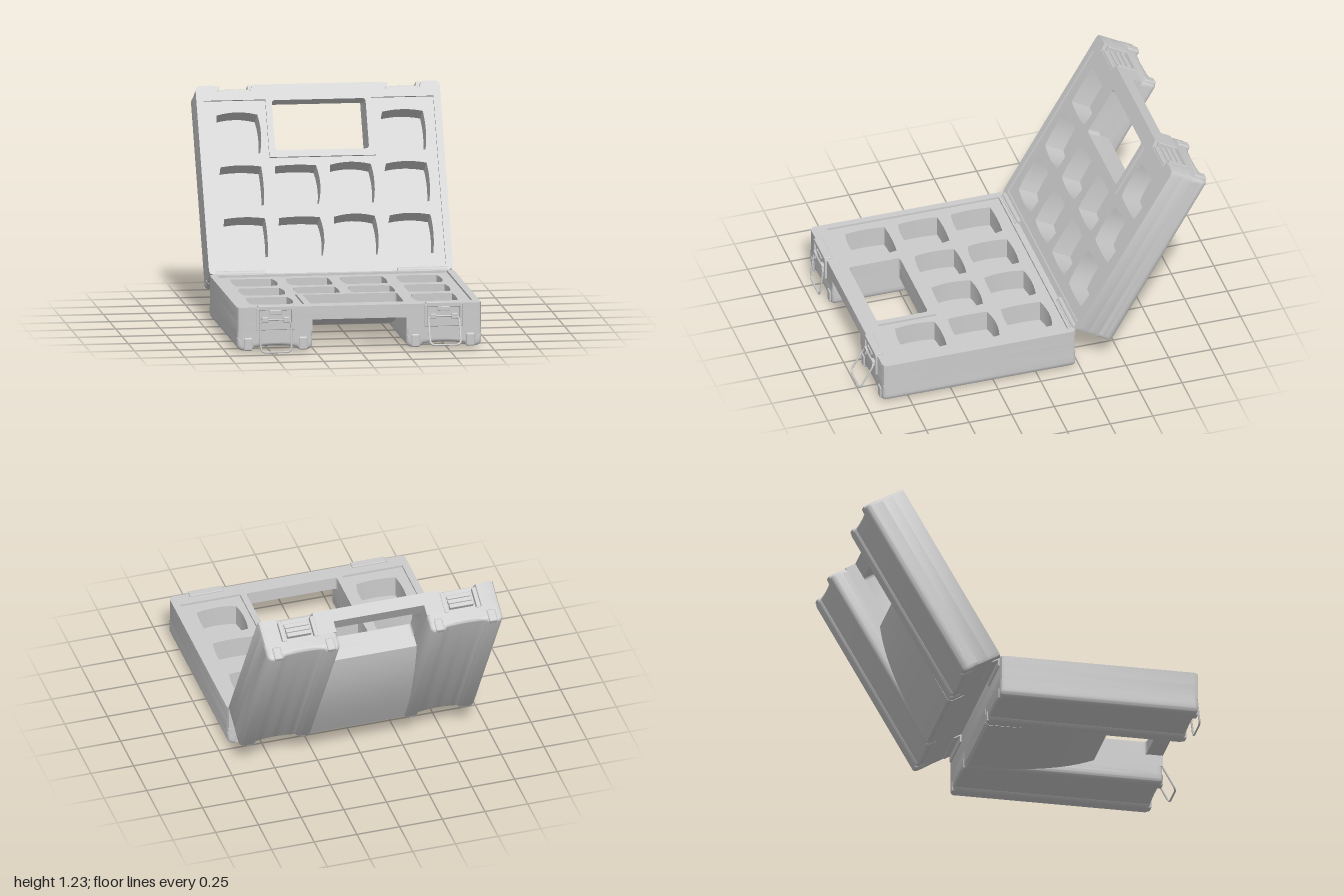
import * as THREE from 'three';
import { toCreasedNormals } from 'three/addons/utils/BufferGeometryUtils.js';
import { RoundedBoxGeometry } from 'three/addons/geometries/RoundedBoxGeometry.js';

const mat = new THREE.MeshStandardMaterial({ color: 0xcccccc });
const W = 0.69, L = 1.13, D = 0.245; // half width, length from hinge, depth of one half
const HX = 0.265, H0 = 0.735, H1 = 1.035; // handle opening

// Each half is modelled with the hinge at z = 0, its rim at y = 0 and its floor at y = -D.
function add(parent, name, geo, x = 0, y = 0, z = 0) {
  const m = new THREE.Mesh(geo, mat);
  m.name = name;
  m.position.set(x, y, z);
  parent.add(m);
  return m;
}

function box(parent, name, x0, x1, w0, w1, v0, v1, r = 0.004) {
  const g = new RoundedBoxGeometry(x1 - x0, w1 - w0, v1 - v0, 2, r);
  return add(parent, name, g, (x0 + x1) / 2, -(w0 + w1) / 2, (v0 + v1) / 2);
}

// Plan shape (x, distance from hinge) extruded downwards between two depths
function slab(parent, name, shape, w0, w1) {
  const g = new THREE.ExtrudeGeometry(shape, { depth: w1 - w0, bevelEnabled: false, curveSegments: 6 });
  g.rotateX(Math.PI / 2);
  return add(parent, name, toCreasedNormals(g, 0.6), 0, -w0, 0);
}

function polygon(points, Type = THREE.Shape) {
  const s = new Type();
  points.forEach(([x, y], i) => (i ? s.lineTo(x, y) : s.moveTo(x, y)));
  s.closePath();
  return s;
}

function roundedRect(x0, y0, x1, y1, r, Type = THREE.Shape) {
  const s = new Type();
  s.moveTo(x0 + r, y0);
  s.lineTo(x1 - r, y0); s.quadraticCurveTo(x1, y0, x1, y0 + r);
  s.lineTo(x1, y1 - r); s.quadraticCurveTo(x1, y1, x1 - r, y1);
  s.lineTo(x0 + r, y1); s.quadraticCurveTo(x0, y1, x0, y1 - r);
  s.lineTo(x0, y0 + r); s.quadraticCurveTo(x0, y0, x0 + r, y0);
  return s;
}

// U-shaped bed of the insert, wrapping round the handle opening
const bed = [[-0.65, 0.035], [0.65, 0.035], [0.65, 1.04], [0.3, 1.04],
  [0.3, 0.695], [-0.3, 0.695], [-0.3, 1.04], [-0.65, 1.04]];

// Outline of the shell, optionally open at the front and notched for the latches
function outline(open, notched) {
  const right = [];
  if (open) right.push([HX, H0], [HX, L]);
  if (notched) right.push([0.37, L], [0.38, L - 0.04], [0.575, L - 0.04], [0.585, L]);
  right.push([W - 0.025, L], [W - 0.007, L - 0.007], [W, L - 0.025],
    [W, 0.025], [W - 0.007, 0.007], [W - 0.025, 0]);
  const s = polygon([...right, ...right.map(([x, v]) => [-x, v]).reverse()]);
  s.holes.push(polygon(bed, THREE.Path));
  return s;
}

// Pocket with four bowed sides
function pocket(cx, cv, bow) {
  const a = 0.115, p = new THREE.Path();
  const k = bow.map((b) => a + b);
  p.moveTo(cx - a, cv - a);
  p.quadraticCurveTo(cx, cv - k[0], cx + a, cv - a);
  p.quadraticCurveTo(cx + k[1], cv, cx + a, cv + a);
  p.quadraticCurveTo(cx, cv + k[2], cx - a, cv + a);
  p.quadraticCurveTo(cx - k[3], cv, cx - a, cv - a);
  return p;
}

function buildInsert(parent) {
  const shape = polygon(bed);
  let n = 0;
  for (const v of [0.22, 0.53, 0.84]) {
    for (const x of [-0.47, -0.155, 0.155, 0.465]) {
      if (v > 0.8 && Math.abs(x) < 0.3) continue;
      const bow = [0, 1, 2, 3].map((i) => 0.012 + 0.007 * ((n * 5 + i * 3) % 4));
      shape.holes.push(pocket(x, v, bow));
      n++;
    }
  }
  slab(parent, 'insert', shape, 0.012, 0.135);
  slab(parent, 'pocketFloors', polygon(bed), 0.135, 0.14);
}

function buildHalf(name, notched) {
  const g = new THREE.Group();
  g.name = name;

  // Rim with the handle bar, and the walls below it
  const rim = outline(false, notched);
  rim.holes.push(roundedRect(-HX, H0, HX, H1, 0.02, THREE.Path));
  slab(g, 'rimAndHandle', rim, 0, 0.075);
  slab(g, 'walls', outline(true, notched), 0.075, 0.14);
  buildInsert(g);

  // Curved centre panel, deepening towards the handle
  const ramp = new THREE.Shape();
  ramp.moveTo(0, -0.14);
  ramp.lineTo(0, -0.225);
  ramp.lineTo(0.015, -0.24);
  for (let i = 1; i <= 16; i++) ramp.lineTo(0.015 + (H0 - 0.015) * i / 16, -0.24 + 0.0995 * (i / 16) ** 3);
  ramp.lineTo(H0, -0.14);
  const rg = new THREE.ExtrudeGeometry(ramp, { depth: 2 * HX + 0.02, bevelEnabled: false });
  rg.rotateY(-Math.PI / 2);
  add(g, 'centrePanel', toCreasedNormals(rg, 0.6), HX + 0.01);

  for (const s of [-1, 1]) {
    // Solid side bay under the pockets
    const bay = roundedRect(Math.min(s * HX, s * W), 0, Math.max(s * HX, s * W), L, 0.025);
    slab(g, 'sideBay', bay, 0.14, 0.2);

    // Ridged underside with a hollow between the ridges
    const p = new THREE.Shape();
    p.moveTo(s * HX, -0.17);
    p.lineTo(s * HX, -0.215);
    p.quadraticCurveTo(s * 0.27, -D, s * 0.3, -D);
    p.lineTo(s * 0.325, -D);
    p.quadraticCurveTo(s * 0.35, -D, s * 0.36, -0.228);
    p.quadraticCurveTo(s * 0.475, -0.212, s * 0.59, -0.228);
    p.quadraticCurveTo(s * 0.6, -D, s * 0.625, -D);
    p.lineTo(s * 0.65, -D);
    p.quadraticCurveTo(s * W, -D, s * W, -0.205);
    p.lineTo(s * W, -0.17);
    p.closePath();
    const b = 0.018;
    const ug = new THREE.ExtrudeGeometry(p, { depth: L - 2 * b, bevelThickness: b, bevelSize: b,
      bevelOffset: -b, bevelSegments: 3, curveSegments: 8 });
    add(g, 'ridgedUnderside', toCreasedNormals(ug, 0.6), 0, 0, b);

    // Ridge ends wrapping over both edges
    for (const x of [0.318, 0.628]) {
      const c = s * x;
      box(g, 'ridgeEnd', c - 0.025, c + 0.025, 0.17, D, L - 0.03, L + 0.008, 0.01);
      box(g, 'ridgeEnd', c - 0.022, c + 0.022, 0.18, D, -0.005, 0.03, 0.01);
    }
  }
  return g;
}

// Wire bail hanging from the latch, swung out by an angle
function buildBail(parent, x, length, angle) {
  const pts = roundedRect(-0.087, -length, 0.087, 0, 0.03).getSpacedPoints(48).slice(0, -1);
  const path = new THREE.CatmullRomCurve3(pts.map((p) => new THREE.Vector3(p.x, p.y, 0)), true);
  const m = add(parent, 'latchBail', new THREE.TubeGeometry(path, 72, 0.006, 6, true), x, -0.07, L + 0.014);
  m.rotation.x = -angle;
}

export function createModel() {
  const root = new THREE.Group();
  root.name = 'organizerCase';

  const base = buildHalf('base', false);
  base.position.set(0, 0.26, -0.225);
  root.add(base);

  const lid = buildHalf('lid', true);
  const t = Math.PI / 3, c = Math.cos(t), s = Math.sin(t);
  lid.setRotationFromMatrix(new THREE.Matrix4().makeBasis(
    new THREE.Vector3(-1, 0, 0), new THREE.Vector3(0, c, s), new THREE.Vector3(0, s, -c)));
  lid.position.copy(base.position);
  root.add(lid);

  for (const k of [-1, 1]) {
    const x = k * 0.475;
    // Base latch: frame, backing plate, top clip and bail
    box(base, 'latchPlate', x - 0.09, x + 0.09, 0.0, 0.13, L - 0.01, L + 0.004);
    box(base, 'latchHead', x - 0.1, x + 0.1, -0.008, 0.018, L - 0.035, L + 0.012);
    box(base, 'latchClip', x - 0.035, x + 0.035, 0.015, 0.04, L, L + 0.018);
    for (const d of [-1, 1]) {
      box(base, 'latchRail', x + d * 0.1 - 0.008, x + d * 0.1 + 0.008, 0, 0.13, L - 0.01, L + 0.012);
      box(base, 'bailLug', x + d * 0.06 - 0.018, x + d * 0.06 + 0.018, 0.055, 0.085, L, L + 0.022);
    }
    buildBail(base, x, k > 0 ? 0.172 : 0.182, k > 0 ? 0.52 : 0.12);

    // Lid catch: stepped bars between two rails in the notch
    for (const d of [-1, 1]) box(lid, 'catchRail', x + d * 0.093 - 0.012, x + d * 0.093 + 0.012, 0.02, 0.145, L - 0.05, L + 0.004);
    box(lid, 'catchPlate', x - 0.09, x + 0.09, 0.005, 0.145, L - 0.05, L - 0.025);
    for (let i = 0; i < 3; i++) {
      box(lid, 'catchBar', x - 0.07, x + 0.07, 0.035 + i * 0.03, 0.06 + i * 0.03, L - 0.04, L - 0.012 + i * 0.007);
    }

    // Hinge barrel with its leaves
    const barrel = new THREE.CylinderGeometry(0.015, 0.015, 0.28, 16);
    barrel.rotateZ(Math.PI / 2);
    add(root, 'hingeBarrel', barrel, k * 0.515, 0.262, -0.228);
    for (const half of [base, lid]) {
      const hx = k * 0.515;
      box(half, 'hingeLeaf', hx - 0.14, hx + 0.14, -0.004, 0.05, -0.008, 0.02);
    }
  }
  return root;
}
